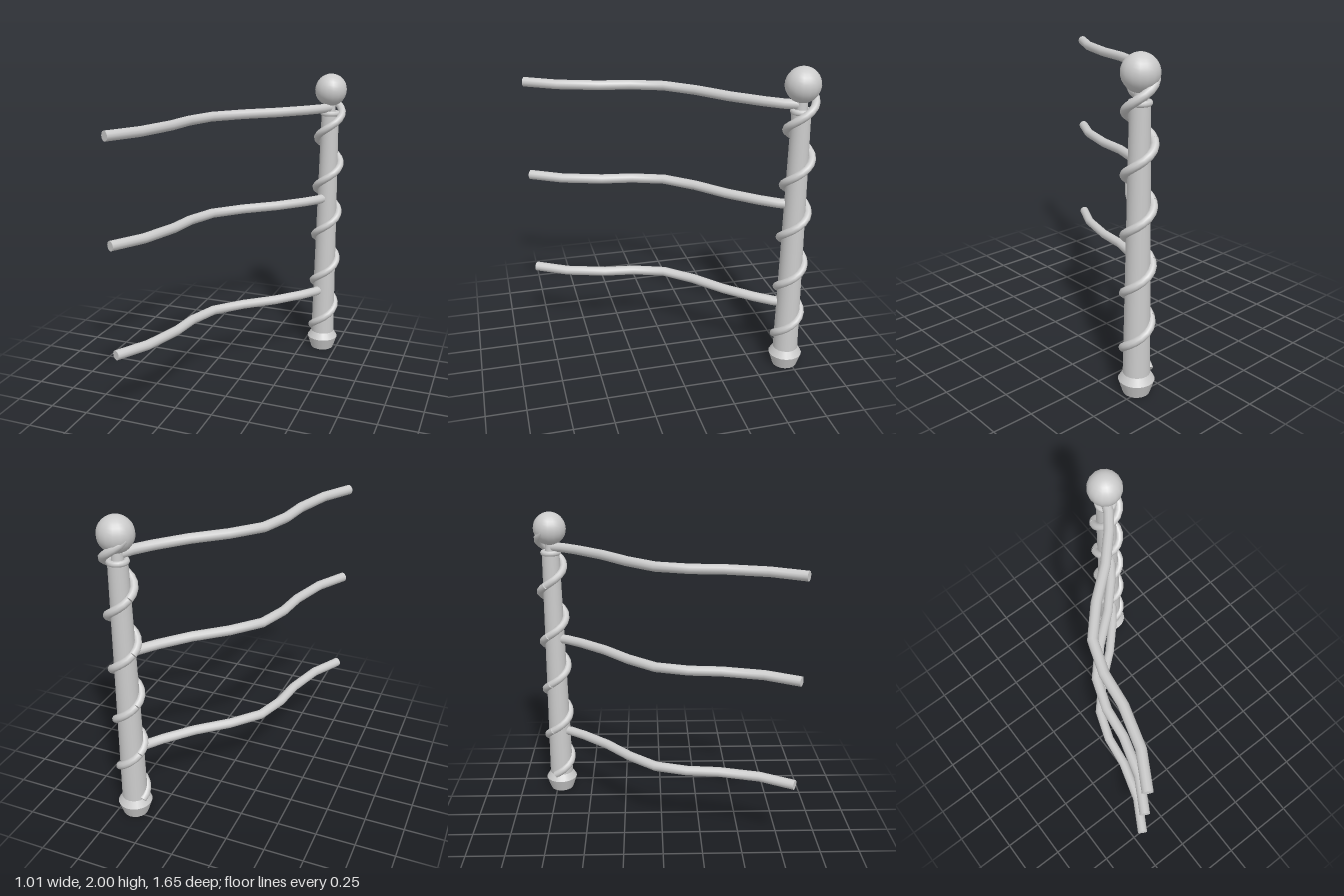
import * as THREE from 'three';

const POST_X = 0.395, POST_Z = -0.718;
const mat = new THREE.MeshStandardMaterial({ color: 0xcccccc });

// Curve through points with straight spans and mitred corners
class PolyCurve extends THREE.Curve {
  constructor(points) {
    super();
    this.points = points;
  }
  getPoint(t, target = new THREE.Vector3()) {
    const n = this.points.length - 1;
    const f = THREE.MathUtils.clamp(t, 0, 1) * n;
    const i = Math.min(Math.floor(f), n - 1);
    return target.lerpVectors(this.points[i], this.points[i + 1], f - i);
  }
  getPointAt(t, target) { return this.getPoint(t, target); }
  getTangentAt(t, target) { return this.getTangent(t, target); }
}

function addMesh(parent, name, geometry) {
  const mesh = new THREE.Mesh(geometry, mat);
  mesh.name = name;
  parent.add(mesh);
  return mesh;
}

// Round bar along points, closed with flat discs
function bar(name, points, radius, sides) {
  const group = new THREE.Group();
  group.name = name;
  const curve = new PolyCurve(points);
  addMesh(group, name + 'Tube', new THREE.TubeGeometry(curve, points.length - 1, radius, sides));
  for (const end of [0, 1]) {
    const cap = addMesh(group, name + 'Cap', new THREE.CircleGeometry(radius, sides));
    const outward = curve.getTangentAt(end).multiplyScalar(end ? 1 : -1);
    cap.position.copy(points[end * (points.length - 1)]);
    cap.quaternion.setFromUnitVectors(new THREE.Vector3(0, 0, 1), outward);
  }
  return group;
}

function cylinder(parent, name, rTop, rBottom, y0, y1) {
  const mesh = addMesh(parent, name, new THREE.CylinderGeometry(rTop, rBottom, y1 - y0, 20));
  mesh.position.y = (y0 + y1) / 2;
}

export function createModel() {
  const model = new THREE.Group();
  model.name = 'railingPost';

  // Tapered post with flared foot, collar, neck and ball
  const post = new THREE.Group();
  post.name = 'post';
  post.position.set(POST_X, 0, POST_Z);
  cylinder(post, 'footLower', 0.108, 0.08, 0, 0.085);
  cylinder(post, 'footUpper', 0.08, 0.108, 0.085, 0.13);
  cylinder(post, 'shaft', 0.058, 0.081, 0.12, 1.73);
  cylinder(post, 'neck', 0.032, 0.036, 1.73, 1.83);
  const collar = addMesh(post, 'collar', new THREE.TorusGeometry(0.05, 0.018, 8, 20));
  collar.rotation.x = Math.PI / 2;
  collar.position.y = 1.735;
  const ball = addMesh(post, 'ball', new THREE.SphereGeometry(0.107, 16, 16));
  ball.position.y = 1.893;
  model.add(post);

  // Vine: five equal turns winding up the post
  const turns = 5, pitch = 0.35, steps = 16;
  for (let k = 0; k < turns; k++) {
    const points = [];
    for (let i = 0; i <= steps; i++) {
      const a = Math.PI + THREE.MathUtils.degToRad(25) - (i / steps) * Math.PI * 2;
      points.push(new THREE.Vector3(
        0.081 * Math.cos(a), 0.13 + pitch * (k + i / steps), 0.081 * Math.sin(a)));
    }
    post.add(bar('spiralTurn', points, 0.025, 10));
  }

  // Three wavy rails, rising slightly away from the post
  const plan = [
    [POST_X, POST_Z], [0.355, -0.63], [0.28, -0.53], [0.13, -0.365], [-0.05, -0.21],
    [-0.2, -0.04], [-0.268, 0.16], [-0.293, 0.36], [-0.367, 0.61], [-0.48, 0.81],
  ];
  for (const y of [0.458, 1.144, 1.774]) {
    const points = plan.map(([x, z]) =>
      new THREE.Vector3(x, y + 0.017 * (z - POST_Z) / 1.53, z));
    model.add(bar('rail', points, 0.031, 12));
  }
  return model;
}
